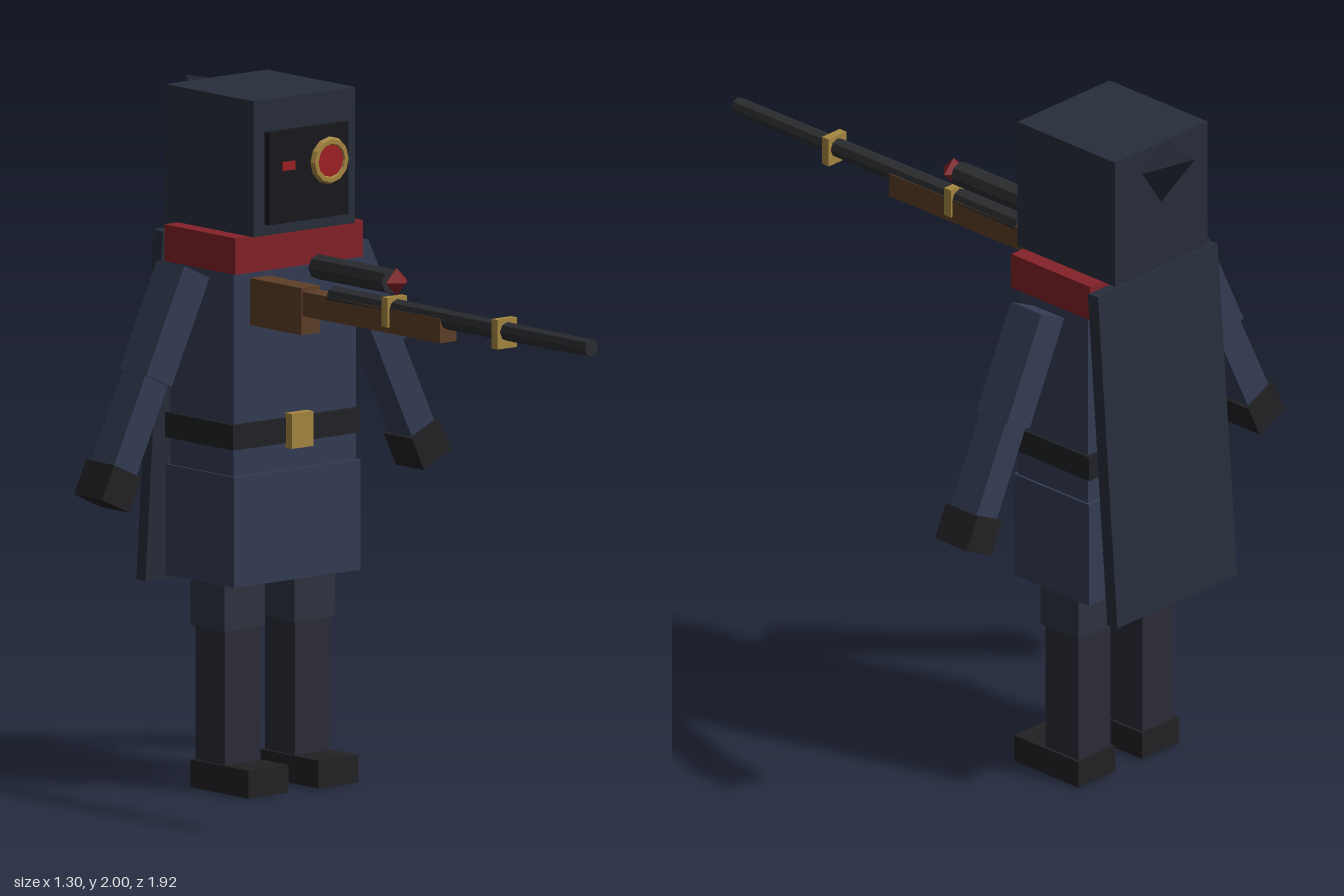
import * as THREE from 'three';

const mat = (color) => new THREE.MeshStandardMaterial({ color, flatShading: true });
const M = {
  hood: mat(0x272d3a), coat: mat(0x343c54), cape: mat(0x272e3b), trousers: mat(0x2f3340),
  shin: mat(0x2a2c37), black: mat(0x222225), belt: mat(0x202226), red: mat(0x832228),
  lens: mat(0xa02024), gold: mat(0xa58640), wood: mat(0x5e3f28), metal: mat(0x2b2d30), face: mat(0x17181c),
};

function add(parent, name, geometry, material, x, y, z) {
  const mesh = new THREE.Mesh(geometry, material);
  mesh.name = name;
  mesh.position.set(x, y, z);
  parent.add(mesh);
  return mesh;
}

// Box given by its centre and size
const box = (parent, name, material, [x, y, z], [w, h, d]) =>
  add(parent, name, new THREE.BoxGeometry(w, h, d), material, x, y, z);

// Cylinder lying along z
function rod(parent, name, material, [x, y, z], rFront, rBack, length, sides) {
  const geometry = new THREE.CylinderGeometry(rFront, rBack, length, sides).rotateX(Math.PI / 2);
  return add(parent, name, geometry, material, x, y, z);
}

function buildHead() {
  const head = new THREE.Group();
  head.name = 'head';
  box(head, 'hood', M.hood, [0, 1.805, -0.635], [0.376, 0.39, 0.384]);
  // Pointed hood tip: four-sided, leaning back
  const tip = add(head, 'hoodTip', new THREE.ConeGeometry(0.139, 0.266, 4), M.hood, 0, 1.932, -0.84);
  tip.rotation.x = -1.124;
  box(head, 'facePlate', M.face, [0, 1.775, -0.445], [0.295, 0.265, 0.045]);
  box(head, 'eyeSlit', M.lens, [-0.078, 1.806, -0.423], [0.046, 0.025, 0.01]);
  add(head, 'monocleRim', new THREE.TorusGeometry(0.056, 0.013, 6, 12), M.gold, 0.07, 1.806, -0.416);
  rod(head, 'monocleLens', M.lens, [0.07, 1.806, -0.42], 0.053, 0.053, 0.02, 12);
  return head;
}

function buildBody() {
  const body = new THREE.Group();
  body.name = 'body';
  box(body, 'torso', M.coat, [0, 1.25, -0.622], [0.456, 0.67, 0.275]);
  box(body, 'coatSkirt', M.coat, [0, 0.763, -0.622], [0.47, 0.317, 0.297]);
  box(body, 'belt', M.belt, [0, 1.035, -0.624], [0.474, 0.073, 0.297]);
  box(body, 'buckle', M.gold, [0, 1.035, -0.465], [0.08, 0.1, 0.03]);
  box(body, 'scarf', M.red, [0, 1.557, -0.621], [0.474, 0.105, 0.31]);
  const tail = box(body, 'scarfTail', M.red, [0.1, 1.33, -0.785], [0.12, 0.47, 0.03]);
  tail.rotation.x = 0.04;
  const cape = box(body, 'cape', M.cape, [0, 1.083, -0.832], [0.488, 1.018, 0.04]);
  cape.rotation.x = 0.075;
  return body;
}

// Arm hangs down from the shoulder and swings outwards
function buildArm(side) {
  const arm = new THREE.Group();
  arm.name = side > 0 ? 'leftArm' : 'rightArm';
  box(arm, 'upperArm', M.coat, [0, -0.165, 0], [0.104, 0.33, 0.12]);
  box(arm, 'forearm', M.coat, [0, -0.455, 0], [0.092, 0.33, 0.1]);
  box(arm, 'hand', M.black, [0, -0.655, 0], [0.112, 0.105, 0.124]);
  arm.position.set(side * 0.295, 1.507, -0.625);
  arm.rotation.z = side * 0.443;
  return arm;
}

function buildLeg(side) {
  const leg = new THREE.Group();
  leg.name = side > 0 ? 'leftLeg' : 'rightLeg';
  const x = side * 0.13;
  box(leg, 'thigh', M.trousers, [x, 0.55, -0.625], [0.15, 0.17, 0.15]);
  box(leg, 'shin', M.shin, [x, 0.27, -0.625], [0.13, 0.4, 0.13]);
  box(leg, 'boot', M.black, [x, 0.04, -0.573], [0.15, 0.08, 0.253]);
  return leg;
}

function buildRifle() {
  const rifle = new THREE.Group();
  rifle.name = 'rifle';
  const x = -0.132;
  rod(rifle, 'barrel', M.metal, [x, 1.47, 0.405], 0.025, 0.032, 1.12, 8);
  box(rifle, 'forend', M.wood, [x, 1.44, 0.04], [0.06, 0.07, 0.6]);
  box(rifle, 'stock', M.wood, [x, 1.418, -0.4], [0.07, 0.135, 0.28]);
  rod(rifle, 'scope', M.metal, [x, 1.548, -0.068], 0.036, 0.036, 0.32, 8);
  add(rifle, 'scopeGem', new THREE.OctahedronGeometry(0.04), M.red, x, 1.549, 0.115);
  for (const z of [0.585, 0.105]) box(rifle, 'barrelBand', M.gold, [x, 1.464, z], [0.072, 0.085, 0.026]);
  return rifle;
}

export function createModel() {
  const model = new THREE.Group();
  model.name = 'cloakedMarksman';
  model.add(buildHead(), buildBody(), buildRifle());
  for (const side of [-1, 1]) model.add(buildArm(side), buildLeg(side));
  return model;
}
